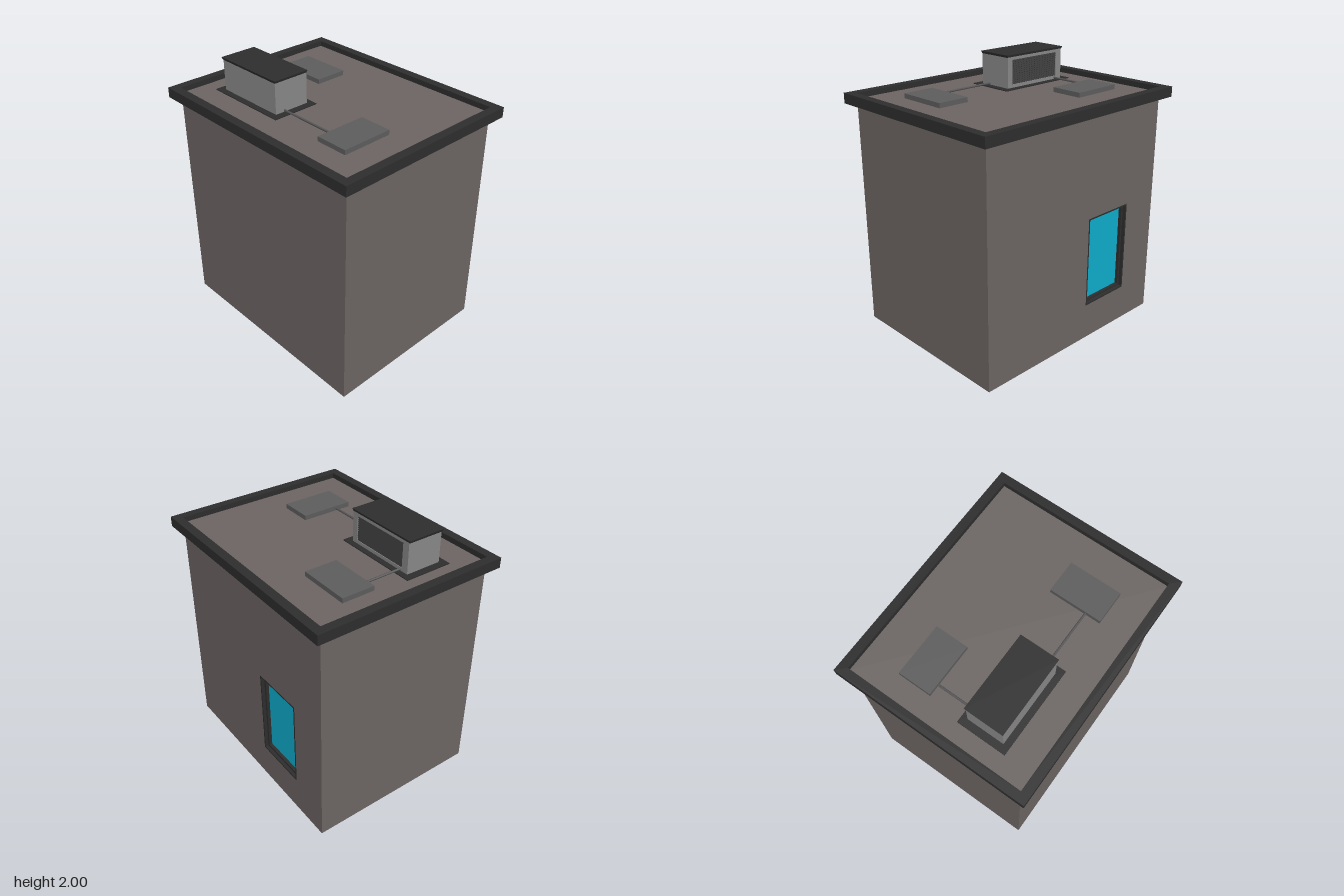
import * as THREE from 'three';

const mat = (color, side = THREE.FrontSide) => new THREE.MeshStandardMaterial({ color, side });
const WALL = mat(0x6b6462), DARK = mat(0x2d2d2d), SLAT = mat(0x343434), GLASS = mat(0x0eabca);
const CASING = mat(0x868686), PAD = mat(0x5c5c5c), PIPE = mat(0x555555);

function add(parent, name, geometry, material) {
  const mesh = new THREE.Mesh(geometry, material);
  mesh.name = name;
  parent.add(mesh);
  return mesh;
}

// Box given by its extents on each axis
function box(x0, x1, y0, y1, z0, z1) {
  return new THREE.BoxGeometry(x1 - x0, y1 - y0, z1 - z0)
    .translate((x0 + x1) / 2, (y0 + y1) / 2, (z0 + z1) / 2);
}

// Rectangle [u0, u1, v0, v1] with an optional rectangular hole
function rectShape(outer, hole) {
  const corners = ([a, b, c, d]) => [[a, c], [b, c], [b, d], [a, d]].map(p => new THREE.Vector2(...p));
  const shape = new THREE.Shape(corners(outer));
  if (hole) shape.holes.push(new THREE.Path(corners(hole)));
  return shape;
}

// Panel facing +x; u runs along -z and v along y
function sidePanel(outer, hole, x, depth = 0) {
  const shape = rectShape(outer, hole);
  const geometry = depth
    ? new THREE.ExtrudeGeometry(shape, { depth, bevelEnabled: false })
    : new THREE.ShapeGeometry(shape);
  return geometry.rotateY(Math.PI / 2).translate(x, 0, 0);
}

const inset = ([a, b, c, d], t) => [a + t, b - t, c + t, d - t];

export function createModel() {
  const model = new THREE.Group();
  model.name = 'building';
  const X = 0.672, Z = 0.846, ROOF = 1.75;

  // Walls, floor and roof deck
  const shell = new THREE.Group();
  shell.name = 'walls';
  model.add(shell);
  const opening = [0.115, 0.54, 0.27, 0.96];
  const endWall = () => new THREE.PlaneGeometry(2 * X, ROOF).translate(0, ROOF / 2, Z);
  const slab = () => new THREE.PlaneGeometry(2 * X, 2 * Z);
  add(shell, 'frontWall', endWall(), WALL);
  add(shell, 'backWall', endWall().rotateY(Math.PI), WALL);
  add(shell, 'leftWall', sidePanel([-Z, Z, 0, ROOF], opening, X), WALL);
  add(shell, 'rightWall', sidePanel([-Z, Z, 0, ROOF], null, X).rotateY(Math.PI), WALL);
  add(shell, 'floor', slab().rotateX(Math.PI / 2), WALL);
  add(shell, 'roofDeck', slab().rotateX(-Math.PI / 2).translate(0, ROOF, 0), WALL);

  // Overhanging parapet ring
  const parapet = new THREE.ExtrudeGeometry(
    rectShape([-0.738, 0.738, -0.91, 0.91], [-X, X, -Z, Z]), { depth: 0.075, bevelEnabled: false });
  add(model, 'parapet', parapet.rotateX(-Math.PI / 2).translate(0, 1.715, 0), DARK);

  // Recessed window with a stepped frame
  const win = new THREE.Group();
  win.name = 'window';
  model.add(win);
  const lining = inset(opening, 0.012), pane = inset(opening, 0.028);
  add(win, 'windowLining', sidePanel(opening, lining, X - 0.05, 0.05), DARK);
  add(win, 'windowFrame', sidePanel(lining, pane, X - 0.05, 0.025), DARK);
  add(win, 'windowGlass', sidePanel(opening, null, X - 0.049), GLASS);

  // Rooftop air unit
  const unit = new THREE.Group();
  unit.name = 'airUnit';
  model.add(unit);
  add(unit, 'unitBase', box(-0.46, -0.095, ROOF, ROOF + 0.006, -0.72, -0.05), DARK);
  add(unit, 'unitCasing', box(-0.413, -0.158, ROOF, 1.985, -0.667, -0.102), CASING);
  const vent = [0.15, 0.612, 1.78, 1.962];
  add(unit, 'ventSurround', sidePanel([0.102, 0.667, ROOF, 1.985], vent, -0.158, 0.02), CASING);
  add(unit, 'ventBacking', sidePanel(vent, null, -0.156), DARK);

  // Tilted louvres in the vent
  const slats = 12, pitch = (vent[3] - vent[2]) / slats;
  for (let i = 0; i < slats; i++) {
    const slat = add(unit, 'ventSlat', new THREE.BoxGeometry(0.004, pitch * 1.1, vent[1] - vent[0]), SLAT);
    slat.position.set(-0.147, vent[2] + (i + 0.5) * pitch, -(vent[0] + vent[1]) / 2);
    slat.rotation.z = 0.5;
  }

  // Lid that flares towards its top
  const lid = new THREE.BoxGeometry(0.286, 0.018, 0.584);
  const p = lid.attributes.position;
  for (let i = 0; i < p.count; i++) {
    if (p.getY(i) < 0) p.setXYZ(i, p.getX(i) * 0.965, p.getY(i), p.getZ(i) * 0.98);
  }
  lid.computeVertexNormals();
  add(unit, 'unitLid', lid.translate(-0.2765, 1.991, -0.386), DARK);

  // Roof pads joined to the unit by pipes
  add(model, 'sidePad', box(0.145, 0.392, ROOF, 1.785, -0.683, -0.29), PAD);
  add(model, 'frontPad', box(-0.45, -0.058, ROOF, 1.785, 0.355, 0.602), PAD);
  const pipe = length => new THREE.CylinderGeometry(0.008, 0.008, length, 8);
  add(model, 'sidePipe', pipe(0.3).rotateZ(Math.PI / 2).translate(0.005, 1.766, -0.597), PIPE);
  add(model, 'frontPipe', pipe(0.47).rotateX(Math.PI / 2).translate(-0.337, 1.766, 0.127), PIPE);

  return model;
}
